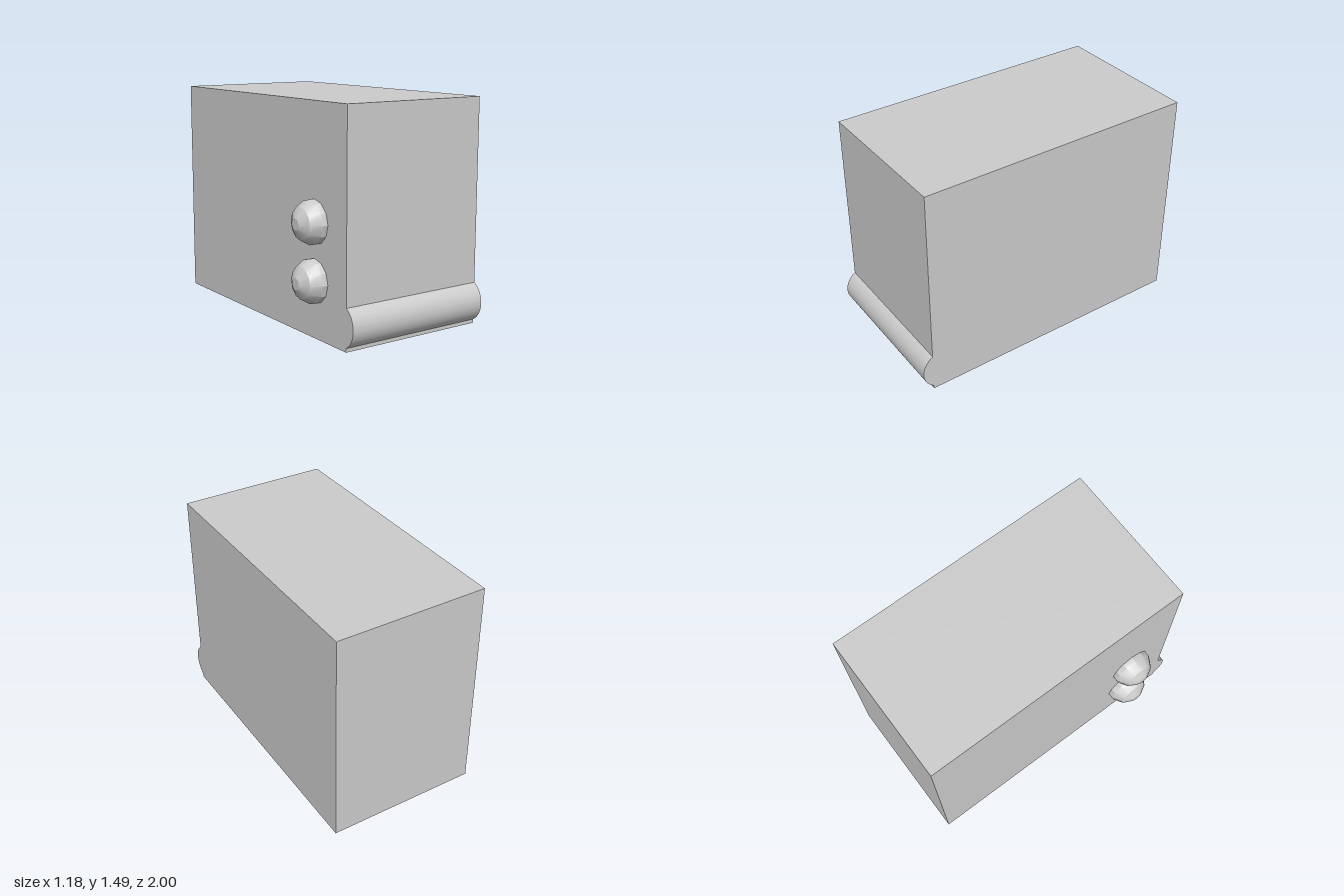
import * as THREE from 'three';
import { toCreasedNormals } from 'three/addons/utils/BufferGeometryUtils.js';

export function createModel() {
  const model = new THREE.Group();
  const grey = new THREE.MeshStandardMaterial({ color: 0xcccccc });
  grey.name = 'plain grey';

  const left = -0.45, width = 1.04, height = 1.49, front = 0.93, back = -1;

  function add(name, geometry, x, y, z) {
    const mesh = new THREE.Mesh(geometry, grey);
    mesh.name = name;
    mesh.position.set(x, y, z);
    model.add(mesh);
    return mesh;
  }

  // Main block
  add('body', new THREE.BoxGeometry(width, height, front - back),
    left + width / 2, height / 2, (front + back) / 2);

  // Rounded bar along the lower front edge: a circular segment, extruded across the width
  const half = 0.125, bulge = 0.07;
  const radius = (half * half + bulge * bulge) / (2 * bulge);
  const angle = Math.asin(half / radius);
  const segment = new THREE.Shape();
  segment.absarc(bulge - radius, 0, radius, -angle, angle, false);
  segment.closePath();
  const barGeometry = new THREE.ExtrudeGeometry(segment,
    { depth: width, bevelEnabled: false, curveSegments: 24 });
  barGeometry.rotateY(-Math.PI / 2); // shape x -> z, depth -> -x
  add('frontBar', toCreasedNormals(barGeometry, 0.5), left + width, 0.15, front);

  // Faceted half-round knobs on the side, with flat tips
  const r = 0.148;
  const profile = [new THREE.Vector2(r * Math.cos(Math.PI / 12), 0)];
  for (const degrees of [15, 45, 75]) {
    const a = THREE.MathUtils.degToRad(degrees);
    profile.push(new THREE.Vector2(r * Math.cos(a), r * Math.sin(a)));
  }
  profile.push(new THREE.Vector2(0, r * Math.sin(5 * Math.PI / 12)));
  const knobGeometry = toCreasedNormals(
    new THREE.LatheGeometry(profile, 12).rotateZ(Math.PI / 2),
    THREE.MathUtils.degToRad(29.9));
  [['upperKnob', 0.745], ['lowerKnob', 0.372]].forEach(([name, y]) =>
    add(name, knobGeometry, left, y, 0.597));

  return model;
}
